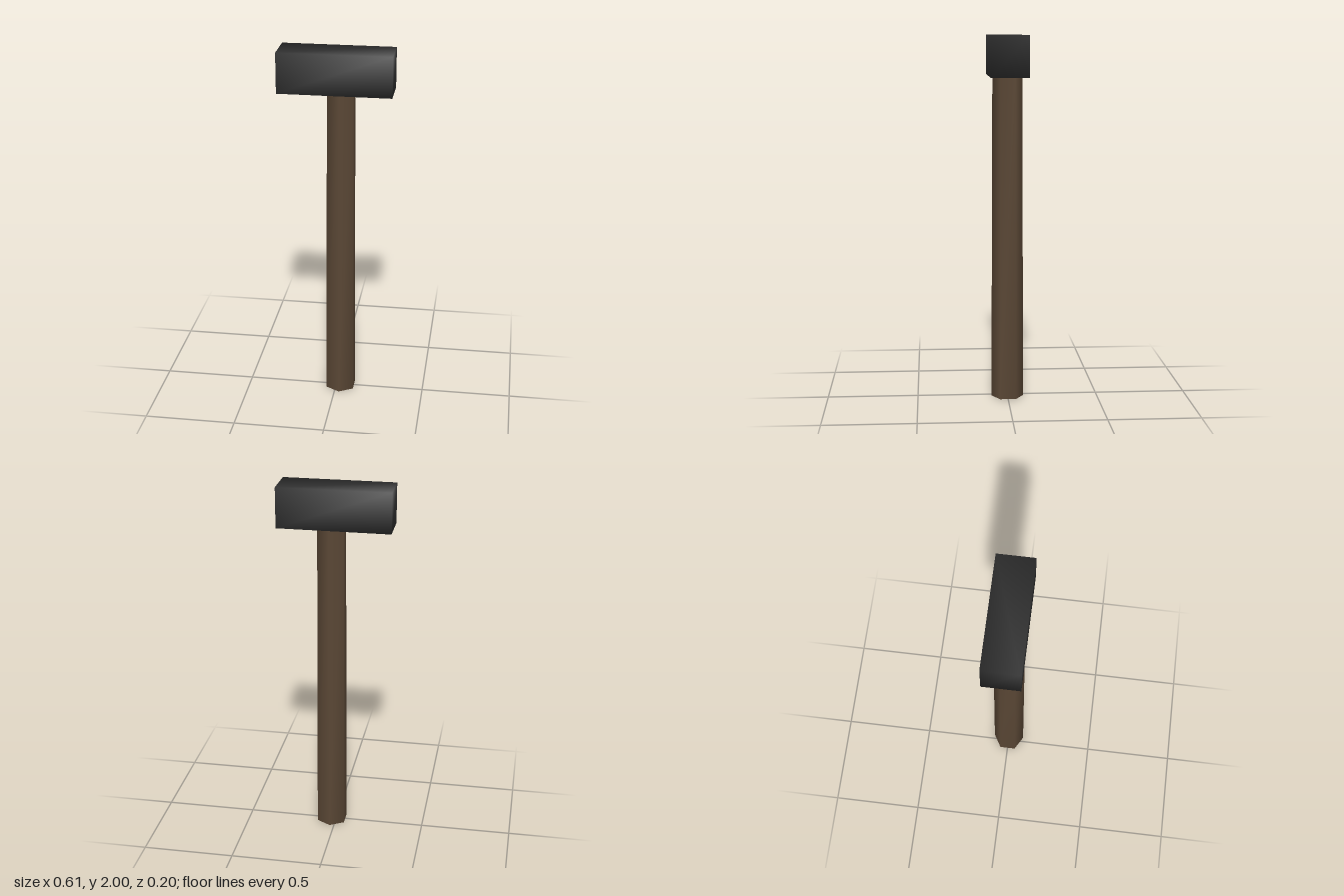
import * as THREE from 'three';
import { mergeVertices } from 'three/addons/utils/BufferGeometryUtils.js';

// Weld shared corners so shading runs smoothly over every edge
function smooth(geometry) {
  geometry.deleteAttribute('normal');
  geometry.deleteAttribute('uv');
  const welded = mergeVertices(geometry, 1e-4);
  welded.computeVertexNormals();
  return welded;
}

export function createModel() {
  const group = new THREE.Group();
  group.name = 'hammer';

  const iron = new THREE.MeshStandardMaterial({ color: 0x303030 });
  iron.name = 'dark iron';
  const wood = new THREE.MeshStandardMaterial({ color: 0x5a4735 });
  wood.name = 'brown wood';

  // Block-shaped striking head
  const head = new THREE.Mesh(smooth(new THREE.BoxGeometry(0.61, 0.22, 0.2)), iron);
  head.name = 'head';
  head.position.y = 1.89;
  group.add(head);

  // Tapered six-sided handle, set slightly off centre and tucked into the head
  const handle = new THREE.Mesh(smooth(new THREE.CylinderGeometry(0.081, 0.089, 1.8, 6)), wood);
  handle.name = 'handle';
  handle.position.set(0.025, 0.9, 0);
  group.add(handle);

  return group;
}
